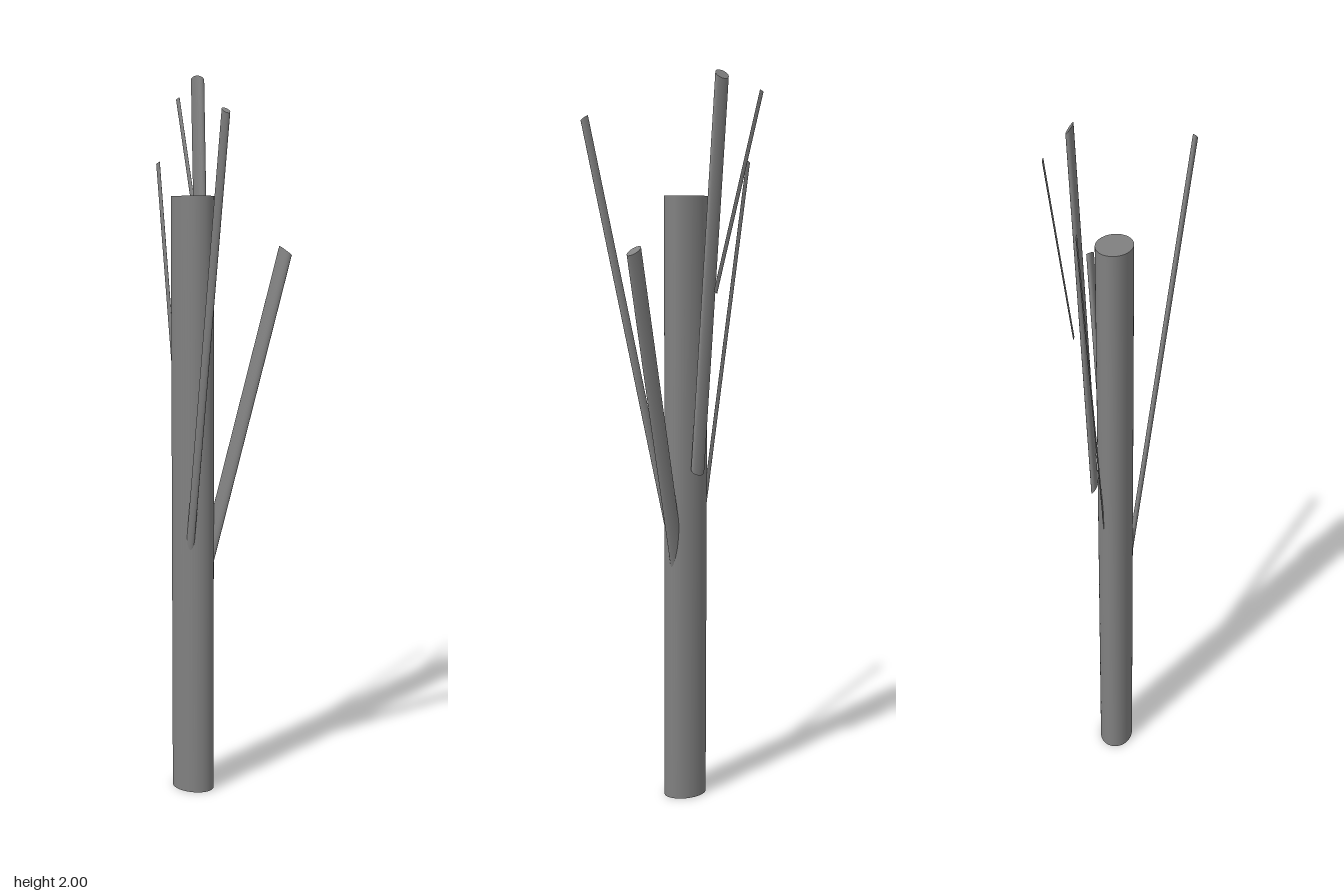
import * as THREE from 'three';

const material = new THREE.MeshStandardMaterial({ color: 0x808080 });

// Oval rod between two centre points; its ends are cut at a slant (rise per unit of x and z)
function rod(name, from, to, rx, rz, sides, slantX = 0, slantZ = 0) {
  const a = new THREE.Vector3(...from);
  const b = new THREE.Vector3(...to);
  const geometry = new THREE.CylinderGeometry(1, 1, 1, sides);
  const p = geometry.attributes.position;
  const n = geometry.attributes.normal;
  const centre = new THREE.Vector3();
  const normal = new THREE.Vector3();
  const leanX = (b.x - a.x) / (b.y - a.y);
  const leanZ = (b.z - a.z) / (b.y - a.y);
  for (let i = 0; i < p.count; i++) {
    const x = p.getX(i) * rx;
    const z = p.getZ(i) * rz;
    const rise = slantX * x + slantZ * z;
    centre.lerpVectors(a, b, p.getY(i) + 0.5);
    p.setXYZ(i, centre.x + x + leanX * rise, centre.y + rise, centre.z + z + leanZ * rise);
    // Sides keep smooth oval normals, end caps face along their slanted cut
    const end = n.getY(i);
    if (end === 0) {
      normal.set(n.getX(i) / rx, 0, n.getZ(i) / rz);
      normal.y = -normal.x * leanX - normal.z * leanZ;
    } else {
      normal.set(-slantX, 1, -slantZ).multiplyScalar(end);
    }
    normal.normalize();
    n.setXYZ(i, normal.x, normal.y, normal.z);
  }
  const mesh = new THREE.Mesh(geometry, material);
  mesh.name = name;
  return mesh;
}

export function createModel() {
  const tree = new THREE.Group();
  tree.name = 'bareTree';

  // Straight oval trunk
  tree.add(rod('trunk', [-0.0435, 0, -0.017], [-0.0435, 1.675, -0.017], 0.063, 0.048, 48));

  // Main branches, rooted inside or against the trunk
  tree.add(rod('frontBranch', [-0.04, 0.63, 0.013], [0.173, 1.882, 0.151], 0.0125, 0.007, 32, -0.5, -0.5));
  tree.add(rod('leftBranch', [-0.04, 0.52, -0.018], [0.187, 1.53, -0.122], 0.0225, 0.0095, 32, -0.5, 0.5));
  tree.add(rod('backBranch', [-0.044, 0.935, -0.075], [-0.092, 1.988, -0.113], 0.021, 0.0095, 32, 0.1, 1.25));

  // Thin flat twigs on the right
  tree.add(rod('upperTwig', [-0.07, 1.42, -0.119], [-0.189, 1.947, -0.157], 0.0065, 0.0015, 16, 0.5));
  tree.add(rod('lowerTwig', [-0.08, 0.74, -0.037], [-0.203, 1.768, -0.08], 0.0065, 0.0015, 16, 0.5));

  return tree;
}
